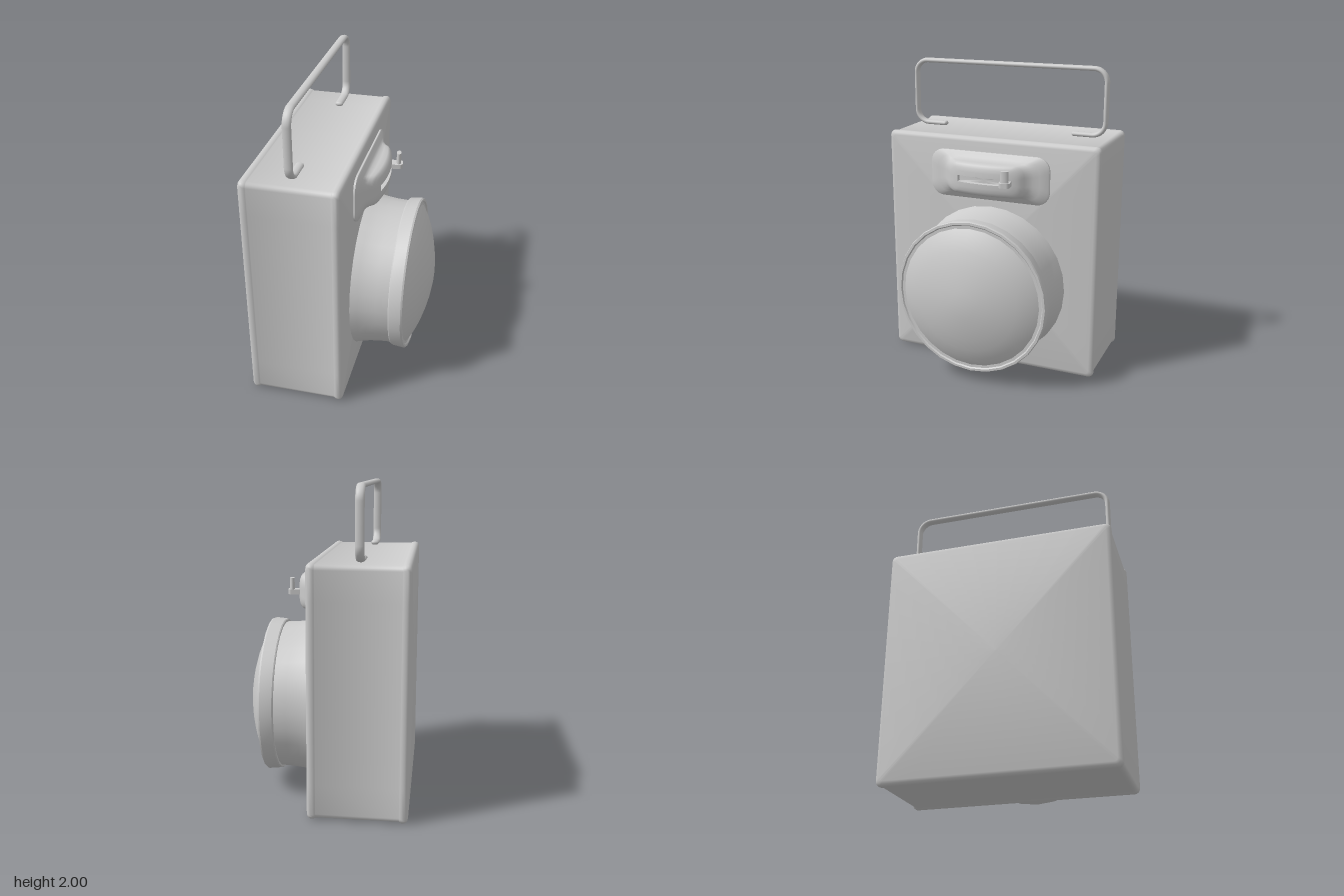
import * as THREE from 'three';
import { toCreasedNormals } from 'three/addons/utils/BufferGeometryUtils.js';

const material = new THREE.MeshStandardMaterial({ color: 0xcccccc });

function addMesh(parent, name, geometry) {
  const mesh = new THREE.Mesh(geometry, material);
  mesh.name = name;
  parent.add(mesh);
  return mesh;
}

// Points [y, z] of a rounded rectangle, with every straight side subdivided.
function roundedLoop(hz, hy, r, cornerSteps = 6, sideSteps = 8) {
  const corners = [0, 1, 2, 3].map((k) => {
    const mid = (k + 0.5) * Math.PI / 2;
    const cy = Math.sign(Math.cos(mid)) * (hy - r), cz = Math.sign(Math.sin(mid)) * (hz - r);
    return Array.from({ length: cornerSteps + 1 }, (_, i) => {
      const a = (k + i / cornerSteps) * Math.PI / 2;
      return [cy + r * Math.cos(a), cz + r * Math.sin(a)];
    });
  });
  return corners.flatMap((corner, k) => {
    const [y0, z0] = corner[cornerSteps], [y1, z1] = corners[(k + 1) % 4][0];
    const side = [];
    for (let i = 1; i < sideSteps; i++) {
      const t = i / sideSteps;
      side.push([y0 + (y1 - y0) * t, z0 + (z1 - z0) * t]);
    }
    return [...corner, ...side];
  });
}

// Skin over rounded rectangles along +x; ring = [x, halfZ, halfY, radius, bow].
function loftX(rings, crease) {
  const positions = [], index = [];
  let n = 0;
  for (const [x, hz, hy, r, bow = 0] of rings) {
    const loop = roundedLoop(hz, hy, r);
    n = loop.length;
    for (const [y, z] of loop) positions.push(x - bow * z * z, y, z);
  }
  const last = (rings.length - 1) * n, start = rings.length * n;
  positions.push(rings[0][0], 0, 0, rings[rings.length - 1][0], 0, 0);
  for (let j = 0; j < n; j++) {
    const k = (j + 1) % n;
    for (let b = 0; b < last; b += n) {
      index.push(b + j, b + k, b + n + k, b + j, b + n + k, b + n + j);
    }
    index.push(start, k, j, start + 1, last + j, last + k);
  }
  const g = new THREE.BufferGeometry();
  g.setAttribute('position', new THREE.Float32BufferAttribute(positions, 3));
  g.setIndex(index);
  return toCreasedNormals(g, crease);
}

// Turned part along +x; profile = [x, radius] pairs.
function turned(profile, crease) {
  const points = profile.map(([x, r]) => new THREE.Vector2(r, x));
  return toCreasedNormals(new THREE.LatheGeometry(points, 28).rotateZ(-Math.PI / 2), crease);
}

export function createModel() {
  const model = new THREE.Group();
  model.name = 'lantern';

  // Case: slightly proud rolled rims at front and back
  const half = [
    [-0.535, 0.03], [-0.531, 0.014], [-0.522, 0.004], [-0.51, 0],
    [-0.495, 0.001], [-0.485, 0.005], [-0.48, 0.008],
  ];
  const profile = [...half, ...half.map(([x, d]) => [-0.46 - x, d]).reverse()];
  const body = addMesh(model, 'body',
    loftX(profile.map(([x, d]) => [x, 0.726 - d, 0.775 - d, 0.035 - d * 0.5]), 0.7));
  body.position.y = 0.775;

  // Lamp head
  const lamp = new THREE.Group();
  lamp.name = 'lamp';
  lamp.position.y = 0.585;
  model.add(lamp);
  addMesh(lamp, 'lampHousing', turned([
    [0.06, 0.521], [0.075, 0.518], [0.12, 0.505], [0.17, 0.495], [0.24, 0.487], [0.33, 0.483],
  ], 0.6));
  addMesh(lamp, 'lampBezel', turned([
    [0.318, 0.475], [0.318, 0.497], [0.325, 0.502], [0.4, 0.51], [0.411, 0.505],
    [0.412, 0.49], [0.404, 0.483], [0.404, 0.46],
  ], 0.5));
  addMesh(lamp, 'lens', turned([
    [0.395, 0.478], [0.41, 0.455], [0.44, 0.405], [0.47, 0.335], [0.495, 0.255],
    [0.515, 0.17], [0.528, 0.085], [0.533, 0],
  ], 1));

  // Switch housing with a recessed slot
  const control = new THREE.Group();
  control.name = 'switch';
  control.position.y = 1.305;
  model.add(control);
  addMesh(control, 'switchHousing', loftX([
    [0.06, 0.408, 0.155, 0.085], [0.087, 0.408, 0.155, 0.085], [0.094, 0.398, 0.147, 0.08],
    [0.107, 0.35, 0.122, 0.075], [0.122, 0.31, 0.108, 0.07, 0.05],
    [0.15, 0.285, 0.104, 0.07, 0.25], [0.183, 0.262, 0.103, 0.065, 0.5],
    [0.2, 0.248, 0.094, 0.06, 0.6], [0.209, 0.225, 0.075, 0.05, 0.6],
    [0.213, 0.195, 0.05, 0.04, 0.6], [0.214, 0.175, 0.021, 0.004, 0.6],
    [0.18, 0.175, 0.021, 0.004, 0.6],
  ], 0.8));

  // Sliding tab with an upright thumb post
  const slider = new THREE.Group();
  slider.name = 'switchSlider';
  slider.position.z = -0.13;
  slider.rotation.y = 0.15;
  control.add(slider);
  const tab = new THREE.Shape();
  tab.moveTo(0.17, -0.035);
  tab.lineTo(0.25, -0.035);
  tab.quadraticCurveTo(0.272, -0.035, 0.272, -0.015);
  tab.lineTo(0.272, 0.015);
  tab.quadraticCurveTo(0.272, 0.035, 0.25, 0.035);
  tab.lineTo(0.17, 0.035);
  addMesh(slider, 'sliderTab',
    new THREE.ExtrudeGeometry(tab, { depth: 0.03, bevelEnabled: false })
      .rotateX(-Math.PI / 2).translate(0, -0.015, 0));
  const post = new THREE.CylinderGeometry(0.5, 0.5, 0.085, 16);
  addMesh(slider, 'sliderPost', post.scale(0.03, 1, 0.055).translate(0.246, 0.045, 0));

  // Flat wire handle with feet turned inwards
  const path = new THREE.CurvePath();
  const v = (y, z) => new THREE.Vector3(0, y, z);
  const corners = [v(1.562, 0.46), v(1.562, 0.667), v(1.984, 0.667),
    v(1.984, -0.667), v(1.562, -0.667), v(1.562, -0.46)];
  let from = corners[0];
  for (let i = 1; i < 5; i++) {
    const c = corners[i];
    const toward = (p) => c.clone().add(p.clone().sub(c).setLength(0.085));
    const a = toward(corners[i - 1]), b = toward(corners[i + 1]);
    path.add(new THREE.LineCurve3(from, a));
    path.add(new THREE.CubicBezierCurve3(a, a.clone().lerp(c, 0.55), b.clone().lerp(c, 0.55), b));
    from = b;
  }
  path.add(new THREE.LineCurve3(from, corners[5]));
  const handle = new THREE.Group();
  handle.name = 'handle';
  handle.position.x = -0.233;
  handle.scale.x = 1.7;
  model.add(handle);
  addMesh(handle, 'handleRod', new THREE.TubeGeometry(path, 240, 0.016, 12, false));
  for (const s of [-1, 1]) {
    const cap = addMesh(handle, 'handleEnd', new THREE.SphereGeometry(0.016, 12, 8));
    cap.position.set(0, 1.562, s * 0.46);
  }
  return model;
}
